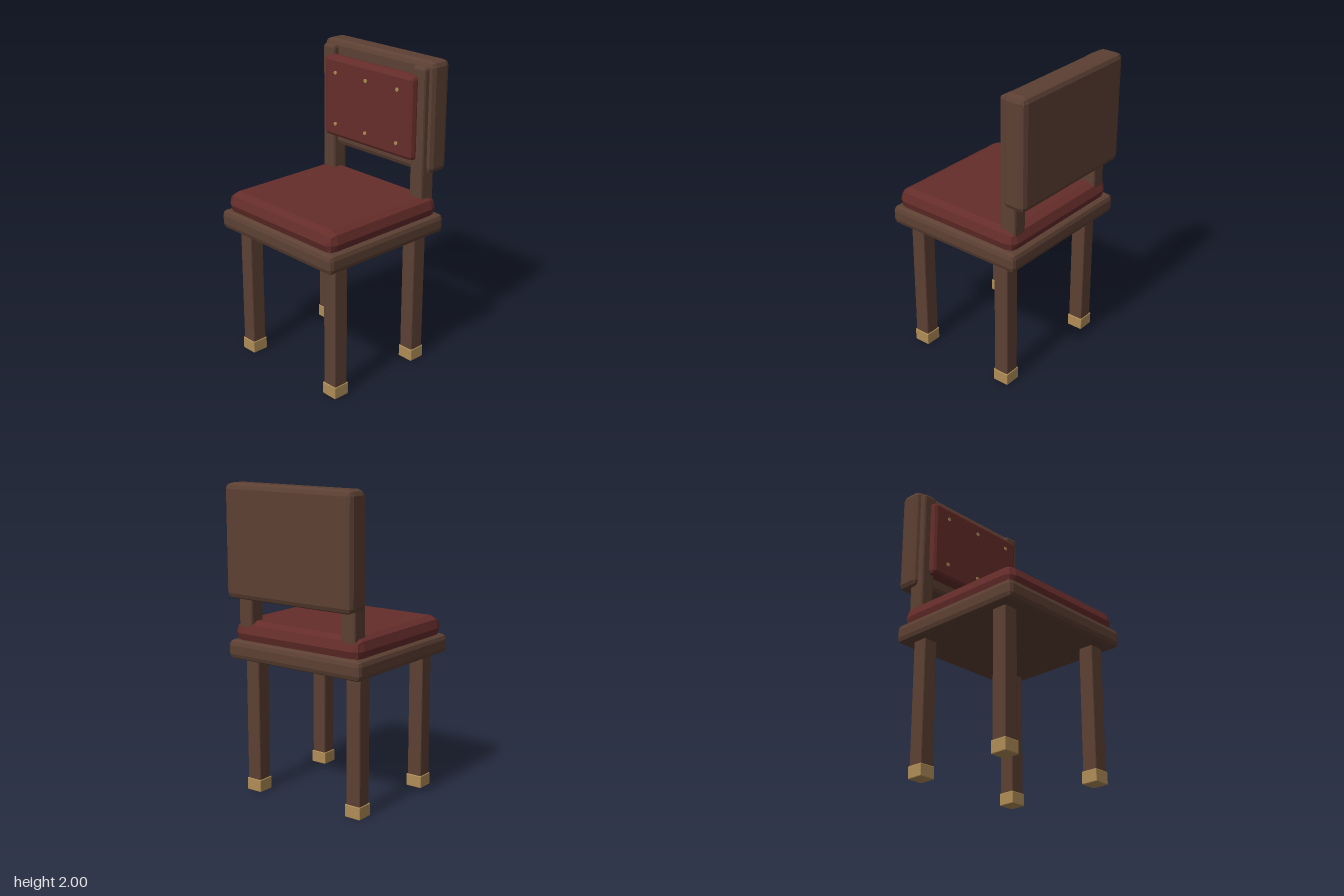
import * as THREE from 'three';
import { RoundedBoxGeometry } from 'three/addons/geometries/RoundedBoxGeometry.js';

const wood = new THREE.MeshStandardMaterial({ color: 0x5c4033, flatShading: true });
const leather = new THREE.MeshStandardMaterial({ color: 0x652d2a, flatShading: true });
const brass = new THREE.MeshStandardMaterial({ color: 0xb08d57, flatShading: true });

// Box between two corners with a two-step bevel, its size set per axis
function bevelBox(name, min, max, bevel, material) {
  const size = max.map((v, i) => v - min[i]);
  const geometry = new RoundedBoxGeometry(
    size[0] / bevel[0], size[1] / bevel[1], size[2] / bevel[2], 1, 1);
  geometry.scale(...bevel);
  const mesh = new THREE.Mesh(geometry, material);
  mesh.name = name;
  mesh.position.set(...min.map((v, i) => (v + max[i]) / 2));
  return mesh;
}

export function createModel() {
  const chair = new THREE.Group();
  chair.name = 'chair';

  // Seat
  chair.add(
    bevelBox('seatFrame', [-0.51, 0.89, -0.47], [0.51, 1.015, 0.513], [0.03, 0.035, 0.03], wood),
    bevelBox('seatCushion', [-0.485, 0.98, -0.445], [0.485, 1.14, 0.49], [0.055, 0.08, 0.065], leather),
  );

  // Backrest
  chair.add(
    bevelBox('backPanel', [-0.477, 1.29, -0.515], [0.477, 2, -0.354], [0.04, 0.035, 0.035], wood),
    bevelBox('backPad', [-0.392, 1.375, -0.37], [0.392, 1.913, -0.274], [0.025, 0.025, 0.035], leather),
  );

  for (const side of [-1, 1]) {
    const x = side * 0.395;
    const sideName = side > 0 ? 'Left' : 'Right';

    // Uprights carrying the back
    chair.add(bevelBox('backPost' + sideName,
      [x - 0.052, 0.98, -0.43], [x + 0.052, 1.97, -0.317], [0.015, 0.02, 0.015], wood));

    // Legs with metal end caps
    for (const [end, z] of [['front', 0.363], ['rear', -0.321]]) {
      chair.add(
        bevelBox(end + 'Leg' + sideName,
          [x - 0.051, 0.02, z - 0.051], [x + 0.051, 0.92, z + 0.051], [0.008, 0.01, 0.008], wood),
        bevelBox(end + 'LegCap' + sideName,
          [x - 0.056, 0, z - 0.056], [x + 0.056, 0.082, z + 0.056], [0.005, 0.005, 0.005], brass),
      );
    }
  }

  // Studs on the back pad
  const studGeometry = new THREE.CylinderGeometry(0.0125, 0.0125, 0.006, 12).rotateX(Math.PI / 2);
  const studs = new THREE.Group();
  studs.name = 'studs';
  for (const y of [1.473, 1.815]) {
    for (const x of [-0.273, 0, 0.273]) {
      const stud = new THREE.Mesh(studGeometry, brass);
      stud.name = 'stud';
      stud.position.set(x, y, -0.262);
      studs.add(stud);
    }
  }
  chair.add(studs);

  return chair;
}
